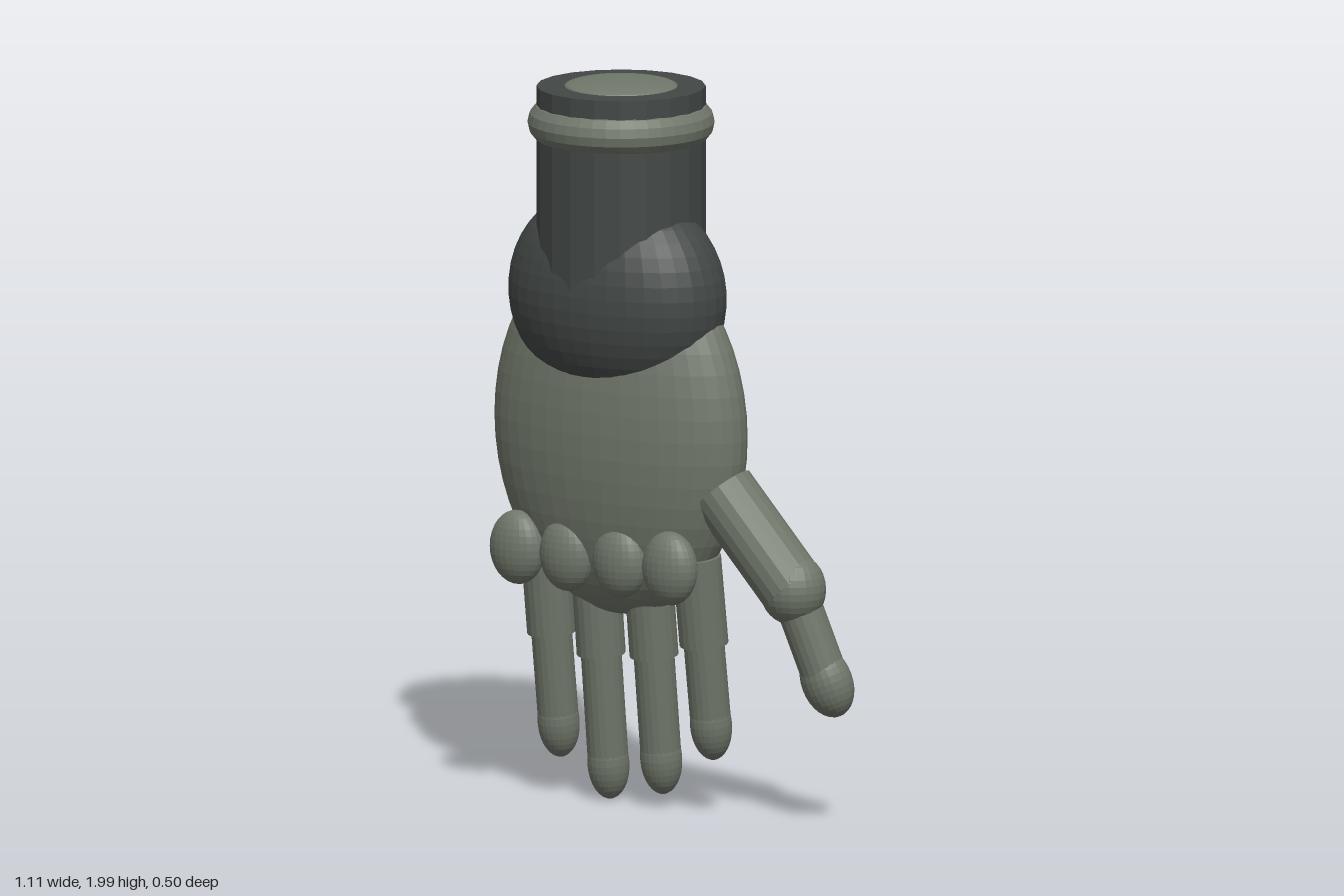
import * as THREE from 'three';

const lightGrey = new THREE.MeshStandardMaterial({ color: 0x70776a, flatShading: true });
lightGrey.name = 'sage grey';
const darkGrey = new THREE.MeshStandardMaterial({ color: 0x434846, flatShading: true });
darkGrey.name = 'charcoal';

const UP = new THREE.Vector3(0, 1, 0);
const CX = -0.154; // axis of the forearm and palm

export function createModel() {
  const model = new THREE.Group();
  model.name = 'hand';

  function add(parent, name, geometry, material, position) {
    const mesh = new THREE.Mesh(geometry, material);
    mesh.name = name;
    mesh.position.set(...position);
    parent.add(mesh);
    return mesh;
  }

  function ellipsoid(parent, name, material, position, radii, segments = 32) {
    const geometry = new THREE.SphereGeometry(1, segments, Math.round(segments * 0.65));
    geometry.scale(...radii);
    return add(parent, name, geometry, material, position);
  }

  // Cylinder running between two points
  function limb(parent, name, from, to, radius) {
    const a = new THREE.Vector3(...from);
    const b = new THREE.Vector3(...to);
    const dir = b.clone().sub(a);
    const mid = a.clone().add(b).multiplyScalar(0.5);
    const geometry = new THREE.CylinderGeometry(radius, radius, dir.length(), 20);
    const mesh = add(parent, name, geometry, lightGrey, mid.toArray());
    mesh.quaternion.setFromUnitVectors(UP, dir.normalize().negate());
    return mesh;
  }

  // Forearm stump with ring and domed cap
  add(model, 'forearm', new THREE.CylinderGeometry(0.228, 0.228, 0.59, 20), darkGrey, [CX, 1.685, 0]);
  const ring = new THREE.TorusGeometry(0.195, 0.057, 14, 40);
  ring.rotateX(Math.PI / 2);
  add(model, 'cuffRing', ring, lightGrey, [CX, 1.882, 0]);
  const dome = new THREE.SphereGeometry(1, 32, 8, 0, Math.PI * 2, 0, Math.PI / 2);
  dome.scale(0.154, 0.022, 0.154);
  add(model, 'endCap', dome, lightGrey, [CX, 1.978, 0]);

  // Wrist and palm
  ellipsoid(model, 'wrist', darkGrey, [CX, 1.415, 0.016], [0.331, 0.3, 0.214], 36);
  ellipsoid(model, 'palm', lightGrey, [CX, 1.05, 0], [0.403, 0.515, 0.18], 40);

  // Fingers: x, end of the first segment, centre of the tip
  const fingers = [
    [-0.412, 0.45, 0.2],
    [-0.245, 0.41, 0.105],
    [-0.068, 0.425, 0.138],
    [0.099, 0.475, 0.25],
  ];
  for (const [x, jointY, tipY] of fingers) {
    const finger = new THREE.Group();
    finger.name = 'finger';
    model.add(finger);
    const topY = 0.72;
    const at = (y) => [x, y, -0.065 * (topY - y) / (topY - tipY)];
    ellipsoid(finger, 'knuckle', lightGrey, [x, 0.705, 0.12], [0.084, 0.101, 0.055], 24);
    limb(finger, 'upperFinger', at(topY), at(jointY), 0.066);
    const lower = limb(finger, 'lowerFinger', at(jointY + 0.06), at(tipY), 0.055);
    const tip = ellipsoid(finger, 'fingertip', lightGrey, at(tipY), [0.057, 0.1, 0.057], 24);
    tip.quaternion.copy(lower.quaternion);
  }

  // Thumb
  const thumb = new THREE.Group();
  thumb.name = 'thumb';
  model.add(thumb);
  const joint = [0.4, 0.66, -0.03];
  const tipAt = [0.48, 0.408, -0.076];
  limb(thumb, 'upperThumb', [0.185, 0.91, 0], joint, 0.09);
  ellipsoid(thumb, 'thumbJoint', lightGrey, joint, [0.091, 0.098, 0.088], 24);
  const lowerThumb = limb(thumb, 'lowerThumb', joint, tipAt, 0.062);
  const thumbTip = ellipsoid(thumb, 'thumbTip', lightGrey, tipAt, [0.072, 0.1, 0.066], 24);
  thumbTip.quaternion.copy(lowerThumb.quaternion);

  return model;
}
